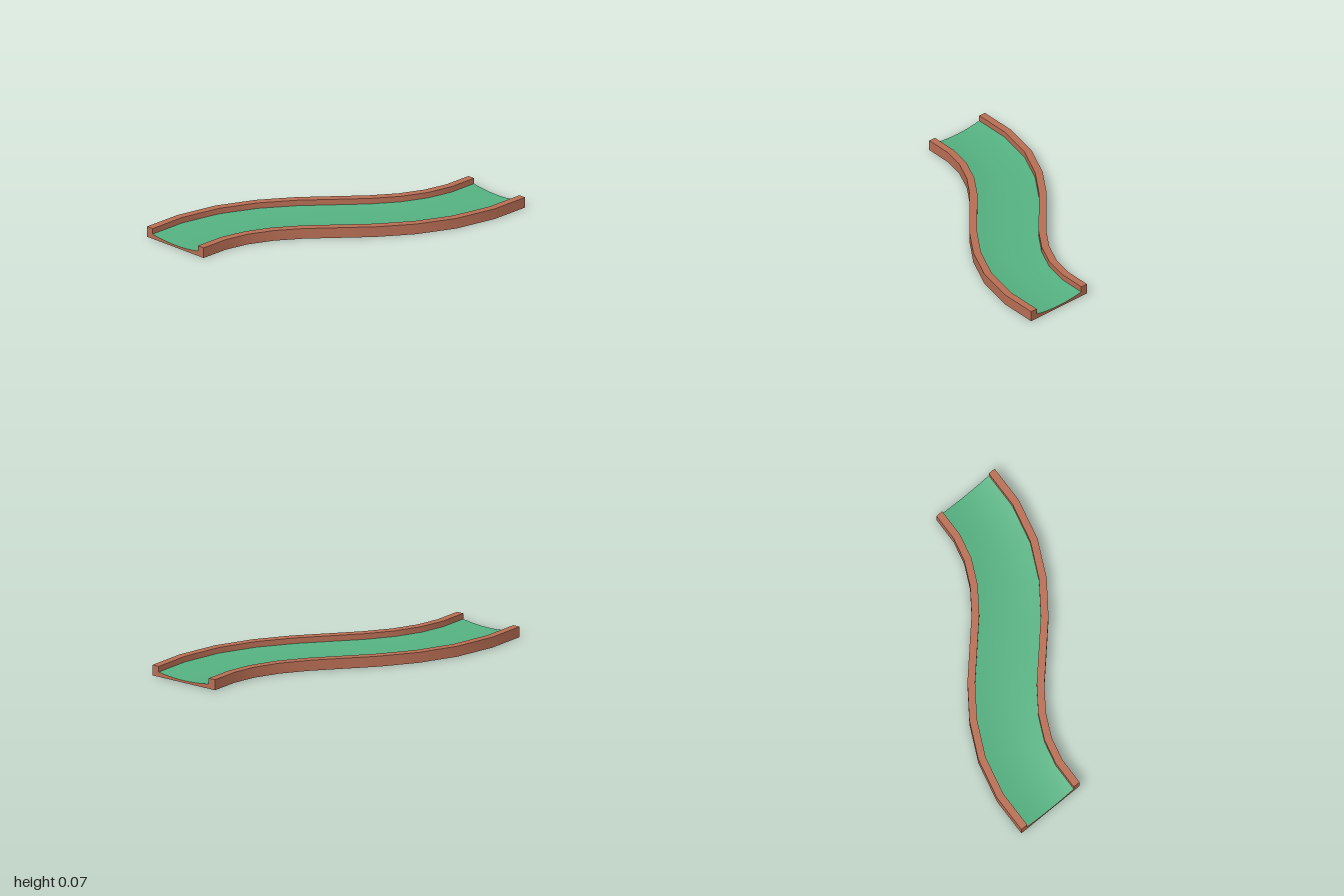
import * as THREE from 'three';

const HALF = 0.25, INNER = 0.2, TOP = 0.072, EDGE = 0.033, DIP = 0.015;

// Centre line of the first half: x, z, turn in degrees
const half = [
  [0.5, -1, 0], [0.48, -0.77, 9], [0.415, -0.55, 23.5],
  [0.306, -0.35, 34.5], [0.163, -0.168, 42.5],
];
// The second half is the first one turned by 180 degrees
const stations = [...half, [0, 0, 44], ...half.map(([x, z, a]) => [-x, -z, a]).reverse()];

// Sweep an open line of [across, height] points along the centre line
function sweep(line) {
  const pos = [], index = [], n = line.length;
  for (const [x, z, deg] of stations) {
    const a = THREE.MathUtils.degToRad(deg);
    for (const [s, y] of line) pos.push(x + s * Math.cos(a), y, z + s * Math.sin(a));
  }
  for (let i = 0; i < stations.length - 1; i++) {
    for (let j = 0; j < n - 1; j++) {
      const a = i * n + j, b = a + n;
      index.push(a, b, a + 1, a + 1, b, b + 1);
    }
  }
  const g = new THREE.BufferGeometry();
  g.setAttribute('position', new THREE.Float32BufferAttribute(pos, 3));
  g.setIndex(index);
  g.computeVertexNormals();
  return g;
}

export function createModel() {
  const group = new THREE.Group();
  const brown = new THREE.MeshStandardMaterial({ color: 0xb86e54 });
  brown.name = 'brown';
  const green = new THREE.MeshStandardMaterial({ color: 0x55b281 });
  green.name = 'green';

  const add = (name, geometry, material, parent = group) => {
    const mesh = new THREE.Mesh(geometry, material);
    mesh.name = name;
    parent.add(mesh);
    return mesh;
  };

  // Shallow dished lane
  const dish = [];
  for (let i = 0; i <= 12; i++) {
    const u = i / 6 - 1;
    dish.push([u * INNER, DIP + (EDGE - DIP) * u * u]);
  }
  add('laneSurface', sweep(dish), green);

  // Raised rims: outer wall, top and inner wall as separate strips for sharp edges
  for (const [name, line] of [
    ['rightRim', [[-HALF, 0], [-HALF, TOP], [-INNER, TOP], [-INNER, EDGE]]],
    ['leftRim', [[INNER, EDGE], [INNER, TOP], [HALF, TOP], [HALF, 0]]],
  ]) {
    const rim = new THREE.Group();
    rim.name = name;
    group.add(rim);
    for (let i = 0; i < 3; i++) add(name + 'Face', sweep([line[i], line[i + 1]]), brown, rim);
  }

  // Flat underside
  add('underside', sweep([[HALF, 0], [-HALF, 0]]), brown);

  // End faces
  const outline = [
    [-HALF, 0], [HALF, 0], [HALF, TOP], [INNER, TOP],
    ...dish.slice().reverse(), [-INNER, TOP], [-HALF, TOP],
  ].map(([x, y]) => new THREE.Vector2(x, y));
  const cap = new THREE.ShapeGeometry(new THREE.Shape(outline));
  add('frontEnd', cap, brown).position.set(-0.5, 0, 1);
  const back = add('backEnd', cap, brown);
  back.position.set(0.5, 0, -1);
  back.rotation.y = Math.PI;

  return group;
}
